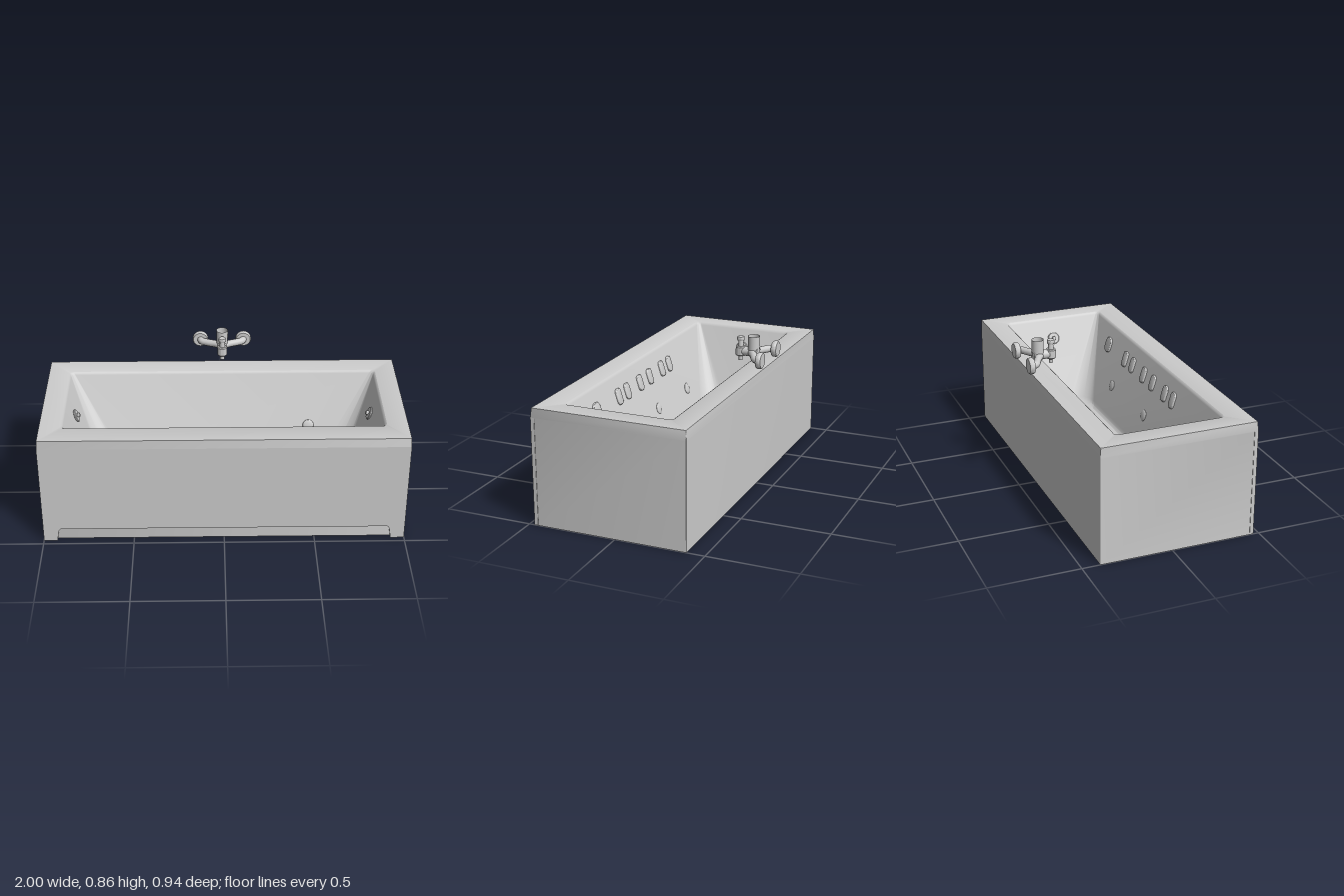
import * as THREE from 'three';
import { toCreasedNormals } from 'three/addons/utils/BufferGeometryUtils.js';

const enamel = new THREE.MeshStandardMaterial({ color: 0xcccccc, side: THREE.DoubleSide });
enamel.name = 'pale grey';

function add(parent, name, geometry, x = 0, y = 0, z = 0) {
  const mesh = new THREE.Mesh(geometry, enamel);
  mesh.name = name;
  mesh.position.set(x, y, z);
  parent.add(mesh);
  return mesh;
}

// Rounded rectangle lying flat at height y
function ring([hx, z0, z1, r, y]) {
  const points = [], steps = 8;
  const corners = [[hx - r, z1 - r], [r - hx, z1 - r], [r - hx, z0 + r], [hx - r, z0 + r]];
  corners.forEach(([cx, cz], q) => {
    for (let i = 0; i <= steps; i++) {
      const a = (q + i / steps) * Math.PI / 2;
      points.push([cx + r * Math.cos(a), y, cz + r * Math.sin(a)]);
    }
  });
  return points;
}

// Skin joining consecutive rings
function loft(sections) {
  const rings = sections.map(ring), n = rings[0].length, pos = [];
  for (let k = 0; k + 1 < rings.length; k++) {
    for (let j = 0; j < n; j++) {
      const a = rings[k][j], b = rings[k + 1][j];
      const c = rings[k][(j + 1) % n], d = rings[k + 1][(j + 1) % n];
      pos.push(...a, ...b, ...c, ...c, ...b, ...d);
    }
  }
  const g = new THREE.BufferGeometry();
  g.setAttribute('position', new THREE.Float32BufferAttribute(pos, 3));
  return toCreasedNormals(g, 0.6);
}

function roundedPad(w, h, r) {
  const s = new THREE.Shape();
  const x = w / 2, y = h / 2;
  s.moveTo(r - x, -y);
  s.lineTo(x - r, -y);
  s.quadraticCurveTo(x, -y, x, r - y);
  s.lineTo(x, y - r);
  s.quadraticCurveTo(x, y, x - r, y);
  s.lineTo(r - x, y);
  s.quadraticCurveTo(-x, y, -x, y - r);
  s.lineTo(-x, r - y);
  s.quadraticCurveTo(-x, -y, r - x, -y);
  const g = new THREE.ExtrudeGeometry(s, {
    depth: 0.004, bevelEnabled: true, bevelSize: 0.006, bevelThickness: 0.006, bevelSegments: 3, curveSegments: 6,
  });
  return toCreasedNormals(g, 0.8);
}

const lathe = pts => toCreasedNormals(
  new THREE.LatheGeometry(pts.map(p => new THREE.Vector2(...p)), 28), 0.6);

// Flat disc with softened rim, base at y = 0
const disc = (r, h) => lathe([[0, 0], [r * 0.9, 0], [r, h * 0.25], [r, h * 0.75], [r * 0.9, h], [0, h]]);

function tubThrough() {
  const tub = new THREE.Group();
  tub.name = 'bathtub';
  // Underside, outer walls, rim, basin walls and basin floor as one skin
  add(tub, 'tubBody', loft([
    [0, 0.02, 0.02, 0, 0],
    [1, -0.4, 0.448, 0.003, 0],
    [1, -0.4, 0.448, 0.003, 0.595],
    [1, -0.4, 0.47, 0.003, 0.6],
    [0.997, -0.397, 0.464, 0.003, 0.65],
    [0.882, -0.277, 0.337, 0.022, 0.65],
    [0.875, -0.27, 0.33, 0.022, 0.645],
    [0.87, -0.265, 0.325, 0.024, 0.635],
    [0.70, -0.125, 0.185, 0.12, 0.18],
    [0.69, -0.115, 0.177, 0.13, 0.16],
    [0.67, -0.1, 0.163, 0.13, 0.15],
    [0.5, 0.03, 0.03, 0, 0.15],
  ]));

  // Front panel with a toe recess along its foot
  const s = new THREE.Shape();
  s.moveTo(-1, 0);
  s.lineTo(-0.925, 0);
  s.lineTo(-0.915, 0.06);
  s.quadraticCurveTo(-0.912, 0.078, -0.895, 0.078);
  s.lineTo(0.895, 0.078);
  s.quadraticCurveTo(0.912, 0.078, 0.915, 0.06);
  s.lineTo(0.925, 0);
  s.lineTo(1, 0);
  s.lineTo(1, 0.6);
  s.lineTo(-1, 0.6);
  add(tub, 'frontPanel', new THREE.ExtrudeGeometry(s, { depth: 0.021, bevelEnabled: false }), 0, 0, 0.448);
  return tub;
}

function fittings() {
  const group = new THREE.Group();
  group.name = 'basinFittings';
  const slope = 0.298, endSlope = 0.357;
  const wallZ = y => 0.325 - (0.635 - y) * 0.14 / 0.455;

  // Jets in pairs along the front wall, plus one wider jet
  for (const x of [-0.337, -0.232, -0.065, 0.065, 0.23, 0.337, 0.6]) {
    const wide = x > 0.5;
    const pad = add(group, 'jet', roundedPad(wide ? 0.065 : 0.045, 0.08, wide ? 0.03 : 0.018), x, 0.53, wallZ(0.53));
    pad.rotation.x = Math.PI + slope;
  }

  // Low round bumps on both long walls
  const bump = new THREE.SphereGeometry(0.032, 20, 12);
  for (const [x, y, side] of [[-0.48, 0.34, 1], [-0.07, 0.34, 1], [0.41, 0.34, 1], [0.5, 0.34, -1]]) {
    const z = wallZ(y);
    const m = add(group, 'roundJet', bump, x, y, side > 0 ? z : 0.06 - z);
    m.rotation.x = side > 0 ? Math.PI + slope : -slope;
    m.scale.z = 0.25;
  }

  // Overflow plates on the end walls
  for (const side of [-1, 1]) {
    const overflow = new THREE.Group();
    overflow.name = 'overflow';
    add(overflow, 'overflowPlate', disc(0.036, 0.012));
    add(overflow, 'overflowKnob', disc(0.012, 0.016), 0, 0.01, 0);
    overflow.position.set(side * 0.831, 0.53, 0.012);
    overflow.rotation.z = side * (Math.PI / 2 - endSlope);
    group.add(overflow);
  }
  return group;
}

function mixerTap() {
  const tap = new THREE.Group();
  tap.name = 'mixerTap';

  // Wall flanges and curved inlet arms
  for (const side of [-1, 1]) {
    const flange = add(tap, 'wallFlange', disc(0.045, 0.03), side * 0.125, 0.767, -0.47);
    flange.rotation.x = Math.PI / 2;
    const path = new THREE.CatmullRomCurve3([
      [0.125, 0.767, -0.45], [0.118, 0.767, -0.425], [0.085, 0.768, -0.405], [0.04, 0.771, -0.382], [0, 0.773, -0.352],
    ].map(([x, y, z]) => new THREE.Vector3(side * x, y, z)));
    add(tap, 'inletArm', new THREE.TubeGeometry(path, 20, 0.02, 14), 0, 0, 0);
  }

  // Central body running forward to the valve block
  const body = add(tap, 'tapBody', new THREE.CylinderGeometry(0.024, 0.03, 0.11, 24), 0, 0.773, -0.345);
  body.rotation.x = Math.PI / 2;
  add(tap, 'valveBlock', lathe([[0, -0.027], [0.024, -0.027], [0.028, -0.022], [0.028, 0.022], [0.024, 0.027], [0, 0.027]]),
    0, 0.773, -0.296);

  // Open upright cradle for the hand shower
  add(tap, 'showerCradle', new THREE.CylinderGeometry(0.033, 0.033, 0.085, 28, 1, true), 0, 0.822, -0.372);
  add(tap, 'cradleBase', new THREE.SphereGeometry(0.033, 24, 14), 0, 0.78, -0.372);

  // Diverter knob above, hose outlet below
  add(tap, 'diverterStem', new THREE.CylinderGeometry(0.013, 0.016, 0.04, 18), 0, 0.815, -0.296);
  add(tap, 'diverterKnob', disc(0.021, 0.022), 0, 0.831, -0.296);
  add(tap, 'hoseOutlet', new THREE.CylinderGeometry(0.012, 0.012, 0.034, 18), 0, 0.737, -0.296);
  return tap;
}

export function createModel() {
  const model = new THREE.Group();
  model.name = 'bathtubWithTap';
  model.add(tubThrough(), fittings(), mixerTap());
  return model;
}
